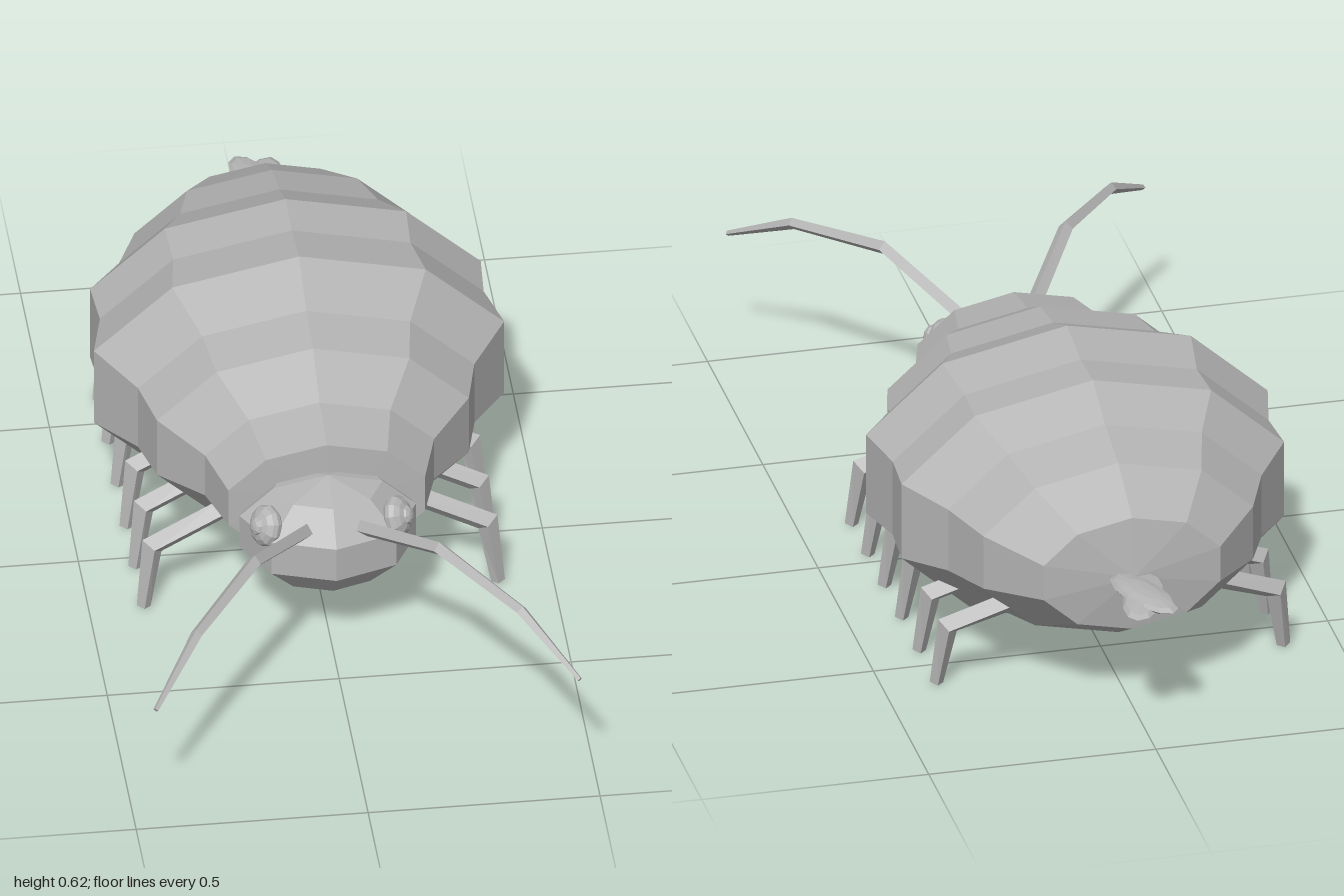
import * as THREE from 'three';

const shell = new THREE.MeshStandardMaterial({ color: 0xb4b4b4 });
shell.name = 'shell grey';

function addPart(parent, name, geometry) {
  const flat = geometry.index ? geometry.toNonIndexed() : geometry;
  flat.computeVertexNormals();
  const mesh = new THREE.Mesh(flat, shell);
  mesh.name = name;
  parent.add(mesh);
  return mesh;
}

// Skin equal rings of points and close both ends with fans
function loft(rings, startTip, endTip) {
  const out = [];
  const n = rings[0].length;
  const tri = (...pts) => pts.forEach((p) => out.push(p.x, p.y, p.z));
  for (let j = 0; j < n; j++) {
    const k = (j + 1) % n;
    for (let i = 0; i < rings.length - 1; i++) {
      const [r, s] = [rings[i], rings[i + 1]];
      tri(r[j], r[k], s[j]);
      tri(r[k], s[k], s[j]);
    }
    const last = rings[rings.length - 1];
    tri(startTip, rings[0][k], rings[0][j]);
    tri(endTip, last[j], last[k]);
  }
  const geometry = new THREE.BufferGeometry();
  geometry.setAttribute('position', new THREE.Float32BufferAttribute(out, 3));
  return geometry;
}

// Four-sided tapering limb along bent path points [x, y, z, radius]
function limb(path, reference) {
  const pts = path.map((p) => new THREE.Vector3(p[0], p[1], p[2]));
  const rings = pts.map((p, i) => {
    const before = p.clone().sub(pts[Math.max(i - 1, 0)]).normalize();
    const after = pts[Math.min(i + 1, pts.length - 1)].clone().sub(p).normalize();
    const t = before.add(after).normalize();
    const u = reference.clone().addScaledVector(t, -reference.dot(t)).normalize();
    const v = t.clone().cross(u);
    return [0, 1, 2, 3].map((k) => {
      const a = (k * Math.PI) / 2;
      return p.clone().addScaledVector(u, Math.cos(a) * path[i][3])
        .addScaledVector(v, Math.sin(a) * path[i][3]);
    });
  });
  return loft(rings, pts[0], pts[pts.length - 1]);
}

export function createModel() {
  const model = new THREE.Group();
  model.name = 'pillBug';

  // Segmented body: [z, half height] of each ten-sided ring, back to front
  const cy = 0.3175;
  const profile = [
    [-0.785, 0.133], [-0.66, 0.203], [-0.54, 0.236], [-0.43, 0.288], [-0.32, 0.283],
    [-0.195, 0.3025], [-0.07, 0.248], [0.045, 0.23], [0.16, 0.169], [0.285, 0.145],
  ];
  const rings = profile.map(([z, r]) => Array.from({ length: 10 }, (_, k) => {
    const a = Math.PI / 2 + (k * Math.PI) / 5;
    return new THREE.Vector3(Math.cos(a) * r * 1.537, cy + Math.sin(a) * r, z);
  }));
  addPart(model, 'body', loft(rings, new THREE.Vector3(0, cy, -0.805), new THREE.Vector3(0, cy, 0.29)));

  // Head
  const head = addPart(model, 'head', new THREE.SphereGeometry(1, 8, 5));
  head.scale.set(0.2, 0.132, 0.158);
  head.position.set(0, 0.267, 0.305);

  const forward = new THREE.Vector3(0, 0, 1);
  const up = new THREE.Vector3(0, 1, 0);
  for (const s of [1, -1]) {
    const side = s > 0 ? 'left' : 'right';

    // Domed eye with a raised pupil
    const eye = new THREE.Group();
    eye.name = side + 'Eye';
    eye.position.set(s * 0.142, 0.326, 0.372);
    eye.quaternion.setFromUnitVectors(up, new THREE.Vector3(s * 0.85, 0.33, 0.4).normalize());
    addPart(eye, 'eyeball', new THREE.SphereGeometry(0.046, 10, 8)).scale.y = 0.6;
    const pupil = addPart(eye, 'pupil', new THREE.SphereGeometry(0.022, 8, 6));
    pupil.scale.y = 0.6;
    pupil.position.y = 0.022;
    model.add(eye);

    // Antenna
    addPart(model, side + 'Antenna', limb([
      [s * 0.055, 0.325, 0.4, 0.018], [s * 0.2, 0.42, 0.635, 0.016],
      [s * 0.35, 0.392, 0.845, 0.013], [s * 0.457, 0.307, 0.995, 0.006],
    ], up));

    // Six bent legs
    [0.165, 0.018, -0.132, -0.288, -0.447, -0.603].forEach((z, i) => {
      addPart(model, side + 'Leg' + (i + 1), limb([
        [s * 0.2, 0.213, z - 0.03, 0.024], [s * 0.362, 0.147, z, 0.026],
        [s * 0.382, 0.004, z + 0.018, 0.015],
      ], forward));
    });

    // Flat tail leaf, crossed with its partner
    const leaf = addPart(model, side + 'TailLeaf', new THREE.SphereGeometry(1, 12, 6));
    leaf.scale.set(0.045, 0.014, 0.112);
    leaf.position.set(0, 0.318 + s * 0.004, -0.893);
    leaf.rotation.y = s * 0.36;
  }
  return model;
}
